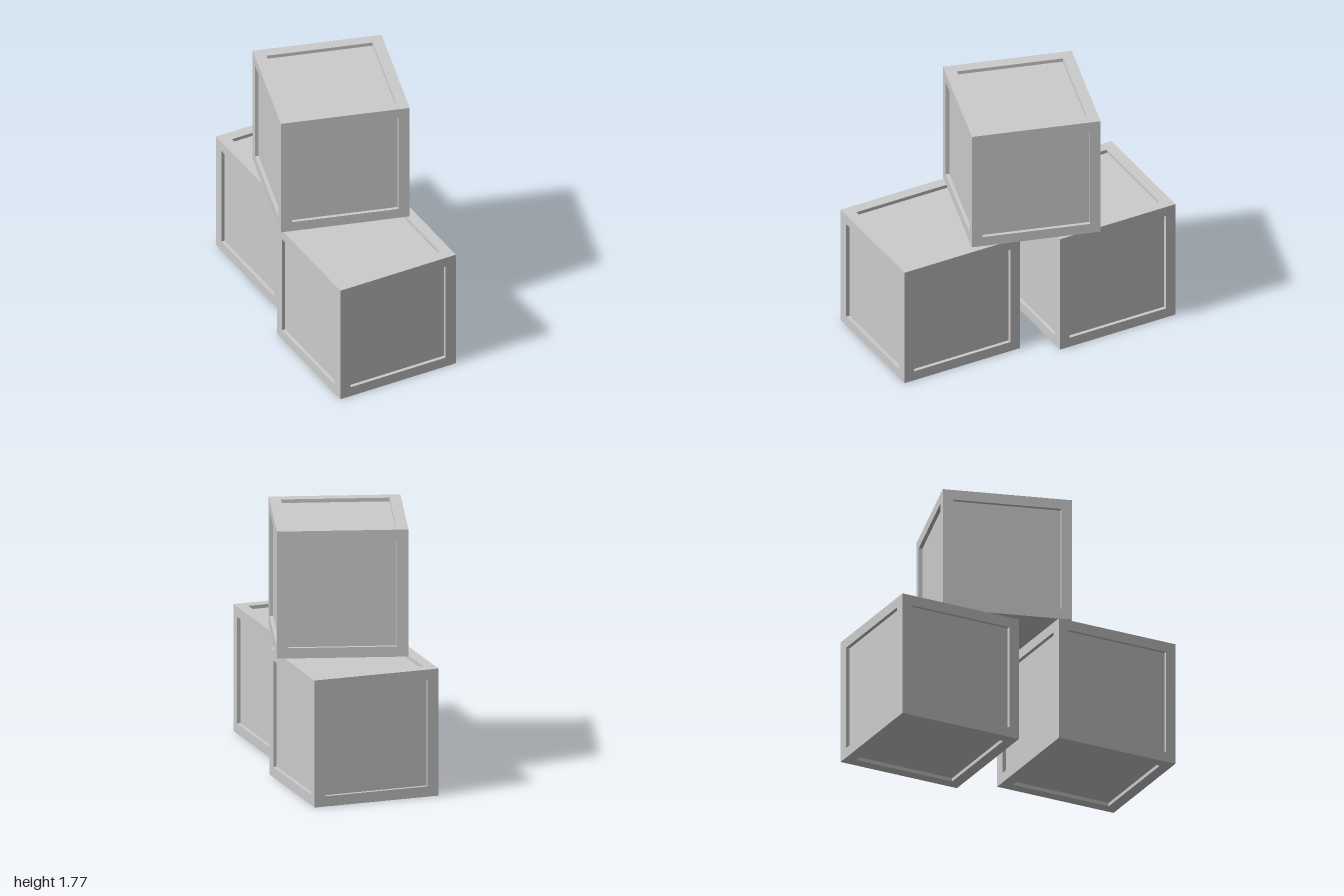
import * as THREE from 'three';
import { mergeGeometries } from 'three/addons/utils/BufferGeometryUtils.js';

const SIZE = 0.886, HALF = SIZE / 2, DEPTH = 0.025;

// One crate side facing +z: flat rim, recess walls and sunken panel,
// built from square loops running inward.
function crateSide(panelU, panelV) {
  const loops = [
    [HALF, HALF, HALF],
    [panelU, panelV, HALF],
    [panelU, panelV, HALF - DEPTH],
  ].map(([u, v, z]) => [[-u, -v, z], [u, -v, z], [u, v, z], [-u, v, z]]);
  const pos = [];
  const quad = (a, b, c, d) => pos.push(...a, ...b, ...c, ...a, ...c, ...d);
  for (let l = 0; l < 2; l++) {
    for (let i = 0; i < 4; i++) {
      const j = (i + 1) % 4;
      quad(loops[l][i], loops[l][j], loops[l + 1][j], loops[l + 1][i]);
    }
  }
  quad(...loops[2]);
  const geo = new THREE.BufferGeometry();
  geo.setAttribute('position', new THREE.Float32BufferAttribute(pos, 3));
  geo.computeVertexNormals();
  return geo;
}

// Six recessed sides joined into one closed crate
function crateGeometry() {
  const q = Math.PI / 2;
  const sides = [];
  for (const turn of [0, 2]) sides.push(crateSide(0.365, 0.371).rotateY(turn * q));
  for (const turn of [-1, 1]) {
    sides.push(crateSide(0.371, 0.371).rotateY(turn * q));
    sides.push(crateSide(0.365, 0.365).rotateX(turn * q));
  }
  return mergeGeometries(sides);
}

export function createModel() {
  const model = new THREE.Group();
  model.name = 'crateStack';
  const material = new THREE.MeshStandardMaterial({ color: 0xcccccc, flatShading: true });
  const geometry = crateGeometry();

  // name, centre x, y, z and turn about y
  const crates = [
    ['frontCrate', -0.092, HALF, 1 - HALF, 0],
    ['backCrate', 0.055, HALF, HALF - 1, 0],
    ['topCrate', -0.002, SIZE + HALF, -0.097, -0.287],
  ];
  for (const [name, x, y, z, turn] of crates) {
    const crate = new THREE.Mesh(geometry, material);
    crate.name = name;
    crate.position.set(x, y, z);
    crate.rotation.y = turn;
    model.add(crate);
  }
  return model;
}
